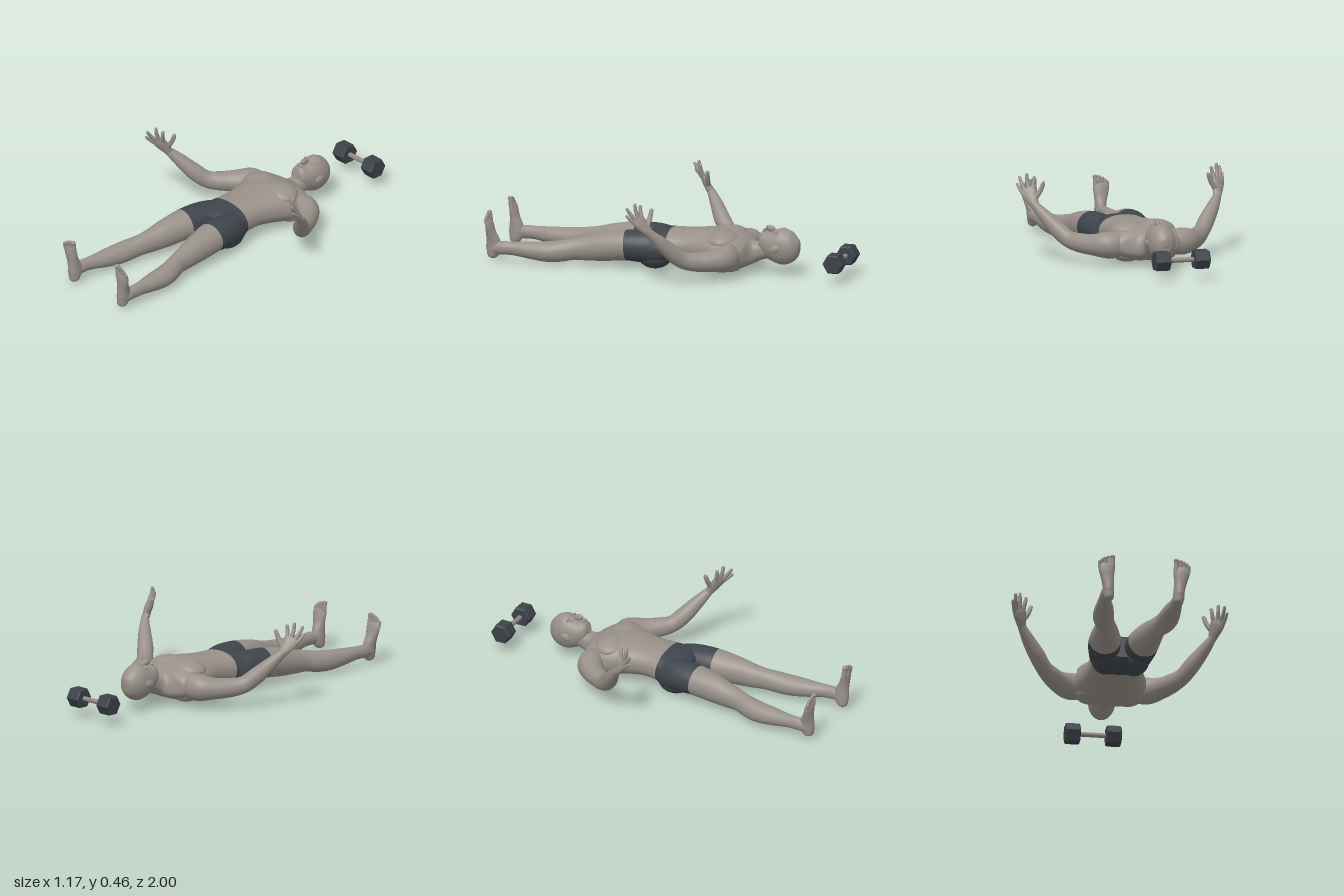
import * as THREE from 'three';

const mat = (name, color) => {
  const m = new THREE.MeshStandardMaterial({ color });
  m.name = name;
  return m;
};

// Smooth capped tube through cross-sections [x, y, z, sideRadius, upRadius]; u0..u1 picks a stretch of it
function loft(sections, { ref = [0, 1, 0], mirror = 1, steps = 40, sides = 28, power = 1, u0 = 0, u1 = 1 } = {}) {
  const path = new THREE.CatmullRomCurve3(
    sections.map(s => new THREE.Vector3(s[0] * mirror, s[1], s[2])), false, 'catmullrom');
  const radii = new THREE.CatmullRomCurve3(
    sections.map(s => new THREE.Vector3(s[3], s[4], 0)), false, 'catmullrom');
  const refV = new THREE.Vector3(ref[0] * mirror, ref[1], ref[2]);
  const pos = [], idx = [];
  const bend = v => Math.sign(v) * Math.abs(v) ** power;
  const ring = (u, scale) => {
    const c = path.getPoint(u), r = radii.getPoint(u), t = path.getTangent(u);
    const side = refV.clone().cross(t).normalize();
    const up = t.clone().cross(side);
    for (let j = 0; j < sides; j++) {
      const a = j / sides * Math.PI * 2;
      const p = c.clone()
        .addScaledVector(side, bend(Math.cos(a)) * Math.max(r.x, 0.001) * scale)
        .addScaledVector(up, bend(Math.sin(a)) * Math.max(r.y, 0.001) * scale);
      pos.push(p.x, p.y, p.z);
    }
  };
  ring(u0, 0);
  ring(u0, 1);
  for (let i = 0; i <= steps; i++) ring(u0 + (u1 - u0) * i / steps, 1);
  ring(u1, 1);
  ring(u1, 0);
  for (let i = 0; i < steps + 4; i++) {
    for (let j = 0; j < sides; j++) {
      const k = (j + 1) % sides;
      const a = i * sides + j, b = i * sides + k, c = b + sides, d = a + sides;
      idx.push(a, b, c, a, c, d);
    }
  }
  const g = new THREE.BufferGeometry();
  g.setAttribute('position', new THREE.Float32BufferAttribute(pos, 3));
  g.setIndex(idx);
  g.computeVertexNormals();
  return g;
}

export function createModel() {
  const skin = mat('skin', 0x989089);
  const cloth = mat('shorts cloth', 0x3e454b);
  const iron = mat('dumbbell iron', 0x3c4249);
  const steel = mat('handle metal', 0x92897f);

  const model = new THREE.Group();
  model.name = 'lyingFigureWithDumbbell';
  const body = new THREE.Group();
  body.name = 'body';
  model.add(body);

  const add = (name, geo, material, parent = body) => {
    const m = new THREE.Mesh(geo, material);
    m.name = name;
    parent.add(m);
    return m;
  };
  const blob = (name, material, p, r, rot = [0, 0, 0]) => {
    const m = add(name, new THREE.SphereGeometry(1, 28, 18), material);
    m.position.set(...p);
    m.scale.set(...r);
    m.rotation.set(...rot);
  };

  // Torso and pelvis share one shape, split at the waistband
  const trunk = [
    [0, 0.14, -0.54, 0.05, 0.05], [0, 0.125, -0.48, 0.053, 0.052], [0, 0.118, -0.452, 0.08, 0.06],
    [0, 0.115, -0.428, 0.165, 0.07], [0, 0.115, -0.39, 0.2, 0.088], [0, 0.12, -0.33, 0.2, 0.102],
    [0, 0.126, -0.27, 0.19, 0.105], [0, 0.13, -0.2, 0.165, 0.098], [0, 0.13, -0.1, 0.14, 0.088],
    [0, 0.125, 0, 0.144, 0.09], [0, 0.113, 0.06, 0.165, 0.098], [0, 0.115, 0.12, 0.168, 0.09],
    [0, 0.12, 0.16, 0.09, 0.06],
  ];
  const waist = 9 / 12;
  add('torso', loft(trunk, { u1: waist, power: 0.88, steps: 60, sides: 40 }), skin);
  add('shortsPelvis', loft(trunk, { u0: waist, power: 0.88, steps: 24, sides: 40 }), cloth);

  // Head with the face turned up
  add('head', loft([
    [0, 0.16, -0.709, 0.008, 0.01], [0, 0.16, -0.7, 0.034, 0.044], [0, 0.158, -0.67, 0.061, 0.08],
    [0, 0.157, -0.62, 0.073, 0.1], [0, 0.163, -0.57, 0.071, 0.09], [0, 0.178, -0.53, 0.062, 0.069],
    [0, 0.197, -0.5, 0.046, 0.045], [0, 0.203, -0.484, 0.024, 0.026],
  ], { sides: 36 }), skin);
  blob('nose', skin, [0, 0.25, -0.545], [0.013, 0.018, 0.028], [-0.25, 0, 0]);
  blob('lips', skin, [0, 0.239, -0.511], [0.022, 0.009, 0.009]);

  for (const s of [1, -1]) {
    const side = s > 0 ? 'left' : 'right';
    const tube = (name, sections, material, opt = {}) =>
      add(side + name, loft(sections, { mirror: s, ...opt }), material);

    // Face and chest relief
    blob(side + 'Ear', skin, [s * 0.074, 0.152, -0.588], [0.01, 0.021, 0.03], [0.3, 0, 0]);
    blob(side + 'Brow', skin, [s * 0.027, 0.236, -0.592], [0.025, 0.012, 0.009]);
    blob(side + 'Eye', skin, [s * 0.028, 0.233, -0.572], [0.013, 0.01, 0.008]);
    blob(side + 'Chest', skin, [s * 0.085, 0.188, -0.3], [0.095, 0.045, 0.085], [0, 0, s * -0.12]);
    blob(side + 'ShoulderBlade', skin, [s * 0.1, 0.065, -0.34], [0.08, 0.046, 0.08]);
    blob(side + 'Buttock', cloth, [s * 0.074, 0.074, 0.085], [0.08, 0.073, 0.095]);

    // Leg, covered by the shorts down to the middle of the thigh
    const leg = [
      [0.085, 0.12, 0.05, 0.07, 0.08], [0.095, 0.121, 0.13, 0.085, 0.087], [0.105, 0.122, 0.235, 0.085, 0.082],
      [0.119, 0.107, 0.36, 0.069, 0.077], [0.131, 0.094, 0.45, 0.056, 0.066], [0.143, 0.087, 0.52, 0.049, 0.058],
      [0.16, 0.077, 0.58, 0.053, 0.058], [0.173, 0.07, 0.65, 0.057, 0.056], [0.182, 0.072, 0.74, 0.05, 0.048],
      [0.193, 0.077, 0.84, 0.033, 0.037], [0.197, 0.077, 0.91, 0.029, 0.036], [0.194, 0.07, 0.96, 0.027, 0.033],
    ];
    const hem = 2 / 11;
    tube('ShortsLeg', leg, cloth, { u1: hem, steps: 16 });
    tube('Leg', leg, skin, { u0: hem, steps: 56 });
    blob(side + 'Kneecap', skin, [s * 0.14, 0.129, 0.5], [0.028, 0.02, 0.038]);

    // Upright foot with five toes
    tube('Foot', [
      [0.188, 0.018, 0.966, 0.012, 0.014], [0.188, 0.03, 0.964, 0.025, 0.028], [0.19, 0.07, 0.955, 0.03, 0.042],
      [0.193, 0.11, 0.958, 0.031, 0.038], [0.198, 0.15, 0.967, 0.036, 0.027], [0.202, 0.19, 0.974, 0.044, 0.021],
      [0.203, 0.215, 0.977, 0.044, 0.015], [0.203, 0.227, 0.978, 0.037, 0.009],
    ], skin, { ref: [0, 0, 1] });
    const toes = [[0.173, 0.272, 0.0145], [0.197, 0.267, 0.0095], [0.214, 0.26, 0.009], [0.229, 0.25, 0.0085], [0.242, 0.238, 0.008]];
    toes.forEach(([x, tip, r], i) => tube('Toe' + (i + 1), [
      [x, 0.2, 0.978, r, r], [x, tip - 0.02, 0.983, r * 0.9, r * 0.85],
      [x, tip - 0.007, 0.986, r, r], [x, tip, 0.987, r * 0.4, r * 0.4],
    ], skin, { ref: [0, 0, 1], steps: 12, sides: 12 }));

    // Arm from inside the shoulder to the wrist
    tube('Arm', [
      [0.14, 0.115, -0.36, 0.06, 0.07], [0.215, 0.115, -0.355, 0.07, 0.072], [0.28, 0.112, -0.3, 0.06, 0.057],
      [0.33, 0.115, -0.235, 0.051, 0.052], [0.375, 0.13, -0.178, 0.043, 0.046], [0.42, 0.178, -0.128, 0.043, 0.045],
      [0.47, 0.238, -0.082, 0.035, 0.036], [0.512, 0.293, -0.038, 0.023, 0.024], [0.522, 0.312, -0.022, 0.022, 0.02],
    ], skin, { steps: 50 });

    // Open hand
    const palmRef = [0.5, 0.4, -0.8];
    tube('Palm', [
      [0.512, 0.29, -0.04, 0.021, 0.02], [0.525, 0.328, -0.01, 0.034, 0.019],
      [0.535, 0.36, 0.012, 0.041, 0.016], [0.54, 0.382, 0.024, 0.034, 0.01],
    ], skin, { ref: palmRef, steps: 20 });
    const fingers = {
      Thumb: [[0.515, 0.325, -0.018], [0.483, 0.372, -0.024], [0.463, 0.423, -0.03], 0.013],
      IndexFinger: [[0.514, 0.375, 0.008], [0.506, 0.412, 0.02], [0.499, 0.447, 0.024], 0.0105],
      MiddleFinger: [[0.534, 0.378, 0.02], [0.536, 0.422, 0.037], [0.536, 0.461, 0.043], 0.0105],
      RingFinger: [[0.552, 0.368, 0.026], [0.561, 0.407, 0.058], [0.566, 0.44, 0.08], 0.01],
      LittleFinger: [[0.562, 0.35, 0.024], [0.573, 0.378, 0.054], [0.58, 0.403, 0.078], 0.009],
    };
    for (const [name, [a, b, c, r]] of Object.entries(fingers)) {
      const end = c.map((v, i) => v + (b[i] - v) * 0.18);
      tube(name, [[...a, r * 1.15, r * 1.15], [...b, r, r], [...end, r * 0.8, r * 0.8], [...c, r * 0.3, r * 0.3]],
        skin, { ref: palmRef, steps: 14, sides: 12 });
    }
  }

  // Hexagonal dumbbell beyond the head
  const dumbbell = new THREE.Group();
  dumbbell.name = 'dumbbell';
  dumbbell.position.set(0, 0.112, -0.943);
  model.add(dumbbell);
  const handle = new THREE.CylinderGeometry(0.013, 0.013, 0.16, 24);
  handle.rotateZ(Math.PI / 2);
  add('dumbbellHandle', handle, steel, dumbbell);
  const profile = [[0, -0.041], [0.05, -0.041], [0.057, -0.035], [0.057, 0.035], [0.05, 0.041], [0, 0.041]]
    .map(p => new THREE.Vector2(...p));
  for (const s of [1, -1]) {
    const hex = new THREE.LatheGeometry(profile, 6).toNonIndexed();
    hex.rotateZ(Math.PI / 2);
    hex.computeVertexNormals();
    add(s > 0 ? 'leftWeight' : 'rightWeight', hex, iron, dumbbell).position.x = s * 0.111;
  }
  return model;
}
